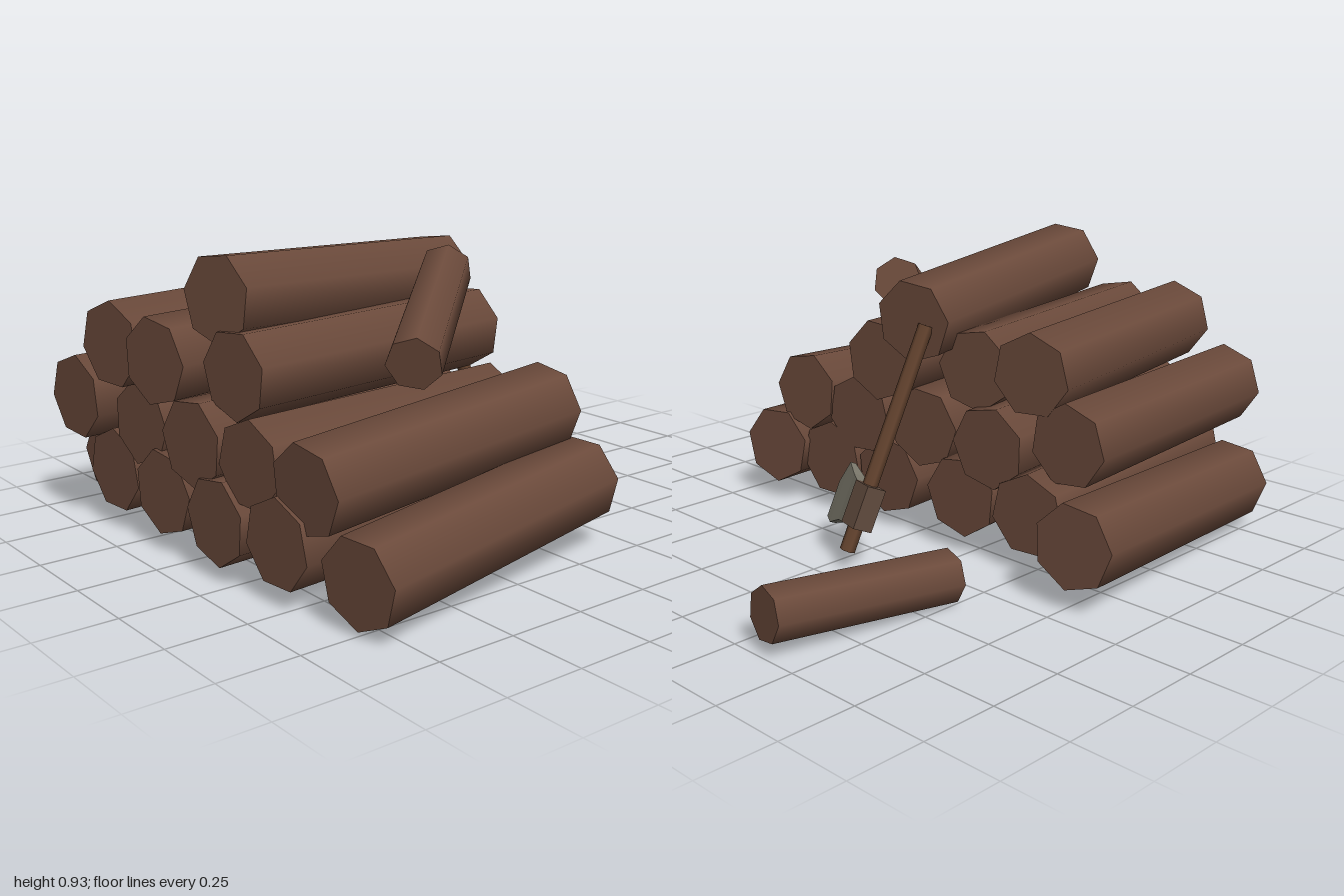
import * as THREE from 'three';

const mat = (name, color, side = THREE.FrontSide) => {
  const m = new THREE.MeshStandardMaterial({ color, side });
  m.name = name;
  return m;
};

// Seven-sided rod between two points, turned about its own axis by spin
function rod(name, a, b, radius, spin, material, sides = 7) {
  const p = new THREE.Vector3(...a), q = new THREE.Vector3(...b);
  const dir = q.clone().sub(p);
  const geo = new THREE.CylinderGeometry(radius, radius, dir.length(), sides);
  geo.rotateY(spin);
  const mesh = new THREE.Mesh(geo, material);
  mesh.name = name;
  mesh.position.copy(p).add(q).multiplyScalar(0.5);
  mesh.quaternion.setFromUnitVectors(new THREE.Vector3(0, 1, 0), dir.normalize());
  return mesh;
}

// Solid lofted through rectangular sections [z, yLow, yHigh, halfThickness]
function wedge(name, sections, material) {
  const pos = [], index = [];
  for (const [z, lo, hi, t] of sections) pos.push(-t, lo, z, t, lo, z, t, hi, z, -t, hi, z);
  for (let s = 0; s < sections.length - 1; s++) {
    for (let i = 0; i < 4; i++) {
      const a = s * 4 + i, b = s * 4 + (i + 1) % 4;
      index.push(a, b, b + 4, a, b + 4, a + 4);
    }
  }
  const e = (sections.length - 1) * 4;
  index.push(0, 2, 1, 0, 3, 2, e, e + 1, e + 2, e, e + 2, e + 3);
  let geo = new THREE.BufferGeometry();
  geo.setAttribute('position', new THREE.Float32BufferAttribute(pos, 3));
  geo.setIndex(index);
  geo = geo.toNonIndexed();
  geo.computeVertexNormals();
  const mesh = new THREE.Mesh(geo, material);
  mesh.name = name;
  return mesh;
}

export function createModel() {
  const group = new THREE.Group();
  group.name = 'woodpile';
  const wood = mat('bark brown', 0x6b4a3b);
  const handleWood = mat('handle brown', 0x65442f);
  const headBrown = mat('rusty brown', 0x604a3d);
  const steel = mat('dull steel', 0x7a776a);

  // Stacked logs: left end, right end
  const logs = [
    // bottom row
    [[-0.83, 0.155, 0.765], [0.16, 0.205, 0.595]],
    [[-0.88, 0.19, 0.46], [0.10, 0.19, 0.37]],
    [[-0.91, 0.185, 0.19], [0.07, 0.185, 0.115]],
    [[-0.91, 0.195, -0.11], [0.07, 0.195, -0.225]],
    [[-0.92, 0.20, -0.40], [0.06, 0.20, -0.50]],
    [[-0.81, 0.15, -0.665], [0.175, 0.205, -0.775]],
    // second row
    [[-0.86, 0.365, 0.575], [0.12, 0.42, 0.475]],
    [[-0.88, 0.38, 0.33], [0.09, 0.38, 0.235]],
    [[-0.91, 0.39, 0.07], [0.07, 0.39, -0.055]],
    [[-0.91, 0.385, -0.23], [0.07, 0.385, -0.34]],
    [[-0.99, 0.43, -0.505], [-0.01, 0.43, -0.595]],
    // third row
    [[-0.84, 0.605, 0.20], [0.14, 0.605, 0.075]],
    [[-0.94, 0.61, -0.075], [0.03, 0.61, -0.245]],
    [[-0.97, 0.63, -0.29], [0.01, 0.63, -0.46]],
    // top
    [[-0.835, 0.81, 0.11], [0.145, 0.76, -0.085]],
  ];
  logs.forEach(([a, b], i) => group.add(rod('log' + (i + 1), a, b, 0.135, i * 0.31, wood)));

  // Thin loose logs: one leaning on the pile, one on the ground
  group.add(rod('leaningLog', [-0.49, 0.655, 0.575], [-0.045, 0.825, 0.18], 0.083, 0.2, wood));
  group.add(rod('groundLog', [0.365, 0.085, -0.465], [0.98, 0.122, -0.36], 0.083, 0.25, wood));

  // Axe propped against the pile
  const bottom = new THREE.Vector3(0.42, 0.065, -0.07);
  const top = new THREE.Vector3(0.135, 0.755, -0.135);
  group.add(rod('axeHandle', top.toArray(), bottom.toArray(), 0.025, 0, handleWood, 6));

  // Axe head frame: y along the handle, z toward the cutting edge
  const y = top.clone().sub(bottom).normalize();
  const x = new THREE.Vector3().crossVectors(y, new THREE.Vector3(-0.25, 0, 0.95)).normalize();
  const z = new THREE.Vector3().crossVectors(x, y);
  const head = new THREE.Group();
  head.name = 'axeHead';
  head.quaternion.setFromRotationMatrix(new THREE.Matrix4().makeBasis(x, y, z));
  head.position.copy(bottom).addScaledVector(y, 0.15);
  head.add(wedge('axeEye', [[-0.045, -0.07, 0.07, 0.034], [0.035, -0.07, 0.07, 0.034]], headBrown));
  head.add(wedge('axeBlade', [
    [0.035, -0.07, 0.07, 0.03], [0.08, -0.075, 0.08, 0.02],
    [0.14, -0.10, 0.105, 0.01], [0.18, -0.09, 0.03, 0.002],
  ], steel));
  group.add(head);
  return group;
}
